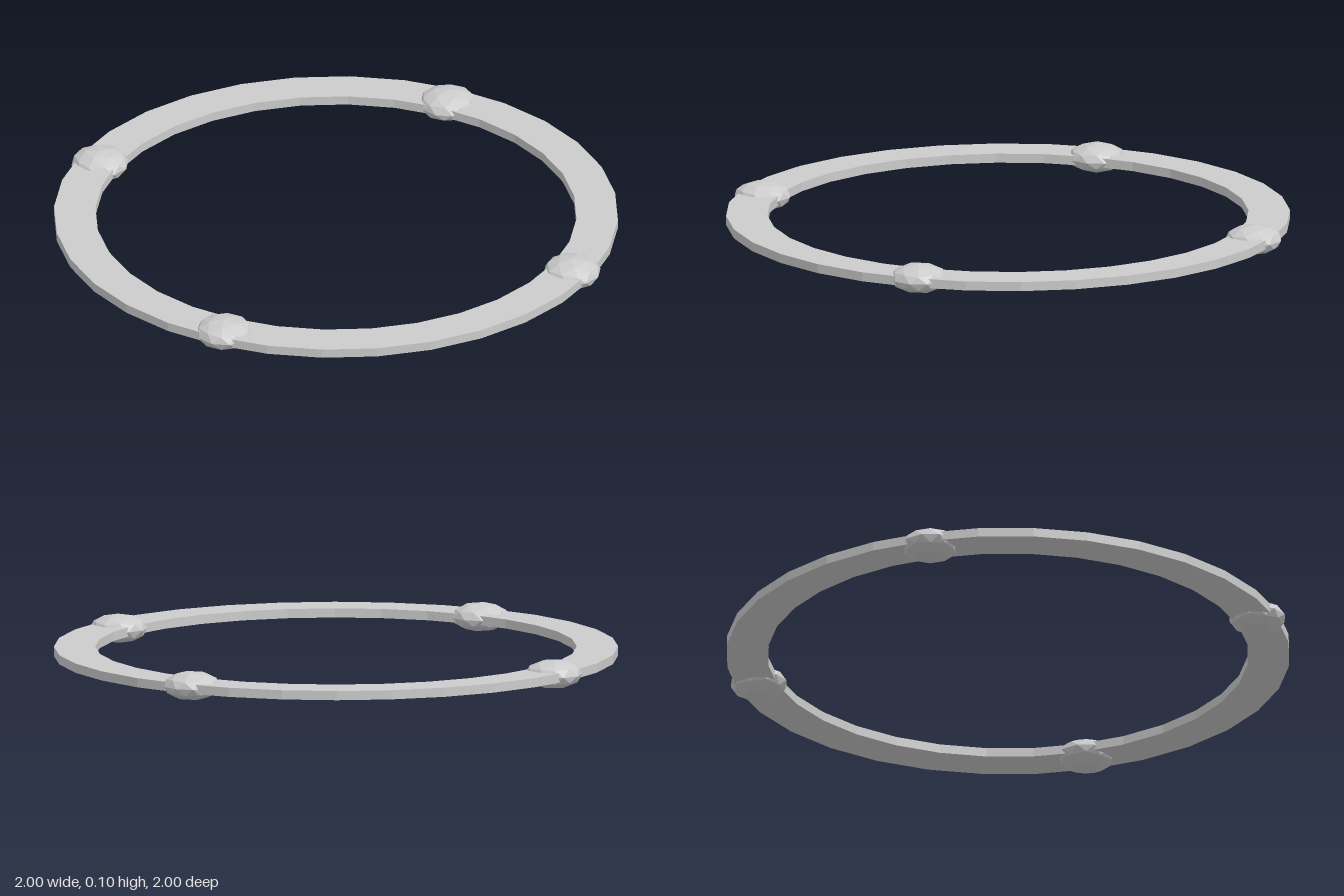
import * as THREE from 'three';

export function createModel() {
  const model = new THREE.Group();
  const material = new THREE.MeshStandardMaterial({ color: 0xcccccc, flatShading: true });
  const midHeight = 0.05;

  // Flat band with a rectangular section, 32 sides
  const inner = 0.83, outer = 0.973, half = 0.016;
  const section = [
    [inner, -half], [outer, -half], [outer, half], [inner, half], [inner, -half],
  ].map(([r, y]) => new THREE.Vector2(r, y));
  const ring = new THREE.Mesh(new THREE.LatheGeometry(section, 32), material);
  ring.name = 'ring';
  ring.position.y = midHeight;
  model.add(ring);

  // Faceted stud: a squashed icosphere with one vertex pointing up
  const studGeometry = new THREE.IcosahedronGeometry(0.1, 1);
  studGeometry.rotateX(-Math.atan((1 + Math.sqrt(5)) / 2));
  studGeometry.scale(1, 0.5, 1);

  // Four studs, each turned with its place on the ring
  ['right', 'front', 'left', 'back'].forEach((side, i) => {
    const pivot = new THREE.Group();
    pivot.name = side + 'Stud';
    pivot.rotation.y = i * Math.PI / 2;
    const stud = new THREE.Mesh(studGeometry, material);
    stud.name = 'stud';
    stud.position.set(-0.9, midHeight, 0);
    pivot.add(stud);
    model.add(pivot);
  });

  return model;
}
